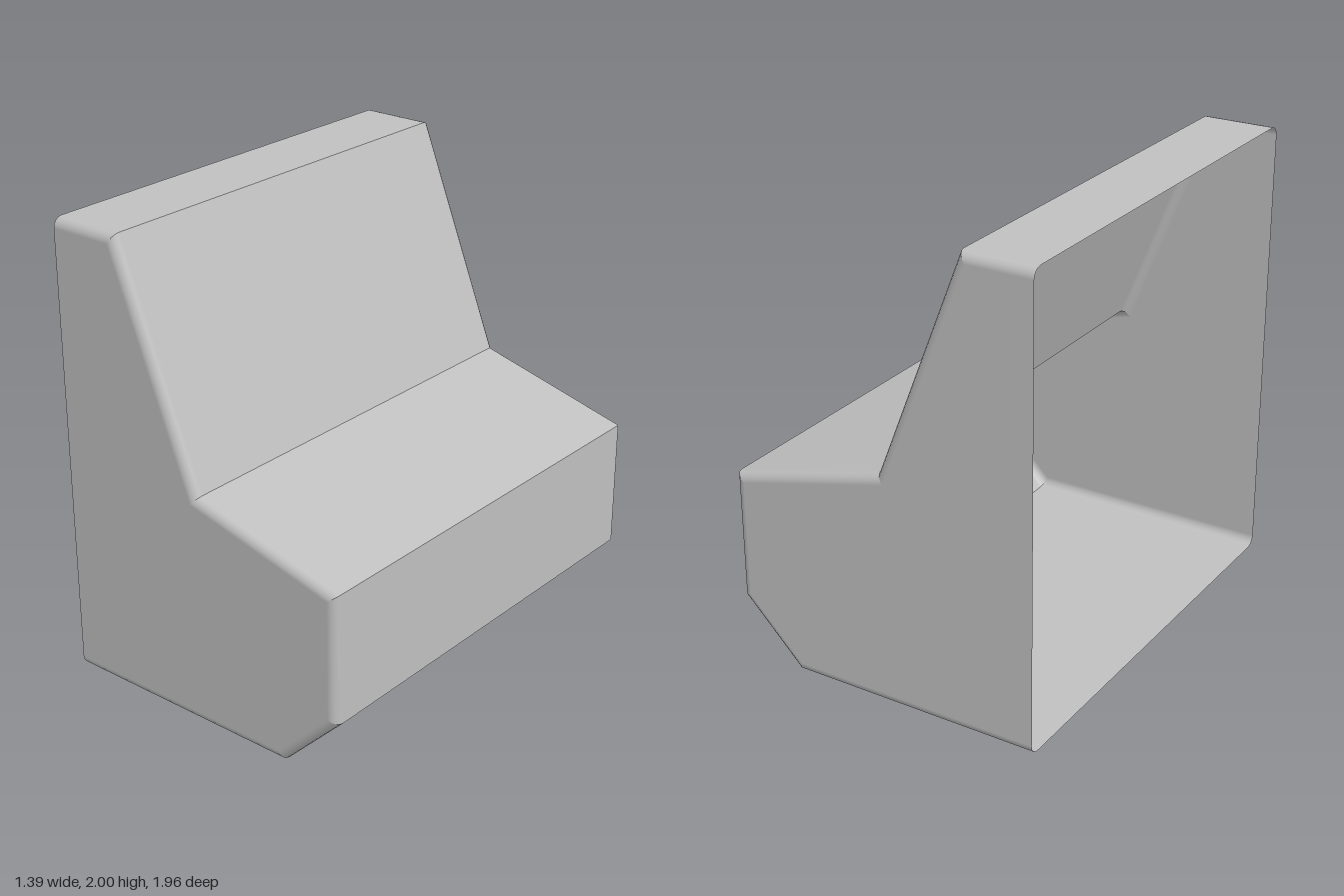
import * as THREE from 'three';

// Side profile, counterclockwise, open along x = -0.7
const PROFILE = [[-0.7, 0], [0.42, 0], [0.695, 0.275], [0.695, 0.84], [0, 1.02], [-0.385, 2], [-0.7, 2]];
const HALF = 0.978, BEVEL = 0.043, STEPS = 4;

const edgeNormals = PROFILE.slice(1).map(([x, y], i) =>
  new THREE.Vector2(y - PROFILE[i][1], PROFILE[i][0] - x).normalize());

// Profile moved inwards by d with mitred corners; the open ends stay on the rear plane
function inset(d) {
  return PROFILE.map(([x, y], i) => {
    const a = edgeNormals[Math.max(i - 1, 0)];
    const b = edgeNormals[Math.min(i, edgeNormals.length - 1)];
    const k = d / (1 + a.dot(b));
    return new THREE.Vector2(x - (a.x + b.x) * k, y - (a.y + b.y) * k);
  });
}

// Cross-sections from one side to the other, with a rounded edge at each end
function makeSections() {
  const end = [];
  for (let i = 0; i <= STEPS; i++) {
    const t = (i / STEPS) * Math.PI / 2;
    end.push({ t, z: HALF - BEVEL + BEVEL * Math.sin(t), points: inset(BEVEL * (1 - Math.cos(t))) });
  }
  const start = end.map(s => ({ ...s, t: -s.t, z: -s.z })).reverse();
  return [...start, ...end];
}

function bandGeometry(sections) {
  const position = [], normal = [];
  edgeNormals.forEach((n, j) => {
    for (let i = 0; i < sections.length - 1; i++) {
      const s = sections[i], e = sections[i + 1];
      for (const [sec, k] of [[s, j], [s, j + 1], [e, j + 1], [s, j], [e, j + 1], [e, j]]) {
        const p = sec.points[k], c = Math.cos(sec.t);
        position.push(p.x, p.y, sec.z);
        normal.push(n.x * c, n.y * c, Math.sin(sec.t));
      }
    }
  });
  const geometry = new THREE.BufferGeometry();
  geometry.setAttribute('position', new THREE.Float32BufferAttribute(position, 3));
  geometry.setAttribute('normal', new THREE.Float32BufferAttribute(normal, 3));
  return geometry;
}

export function createModel() {
  const group = new THREE.Group();
  group.name = 'benchSeat';
  const material = new THREE.MeshStandardMaterial({ color: 0xc0c0c0, side: THREE.DoubleSide });
  material.name = 'plain grey';

  const add = (name, geometry) => {
    const mesh = new THREE.Mesh(geometry, material);
    mesh.name = name;
    group.add(mesh);
    return mesh;
  };

  // Seat, backrest, front and base in one folded shell with rounded ends
  add('seatShell', bandGeometry(makeSections()));

  // Flat side panels; the far one is reversed so that it faces outwards
  const outline = inset(BEVEL);
  add('frontSidePanel', new THREE.ShapeGeometry(new THREE.Shape(outline))).position.z = HALF;
  const mirrored = outline.map(p => new THREE.Vector2(-p.x, p.y)).reverse();
  const rear = add('rearSidePanel', new THREE.ShapeGeometry(new THREE.Shape(mirrored)));
  rear.rotation.y = Math.PI;
  rear.position.z = -HALF;

  return group;
}
